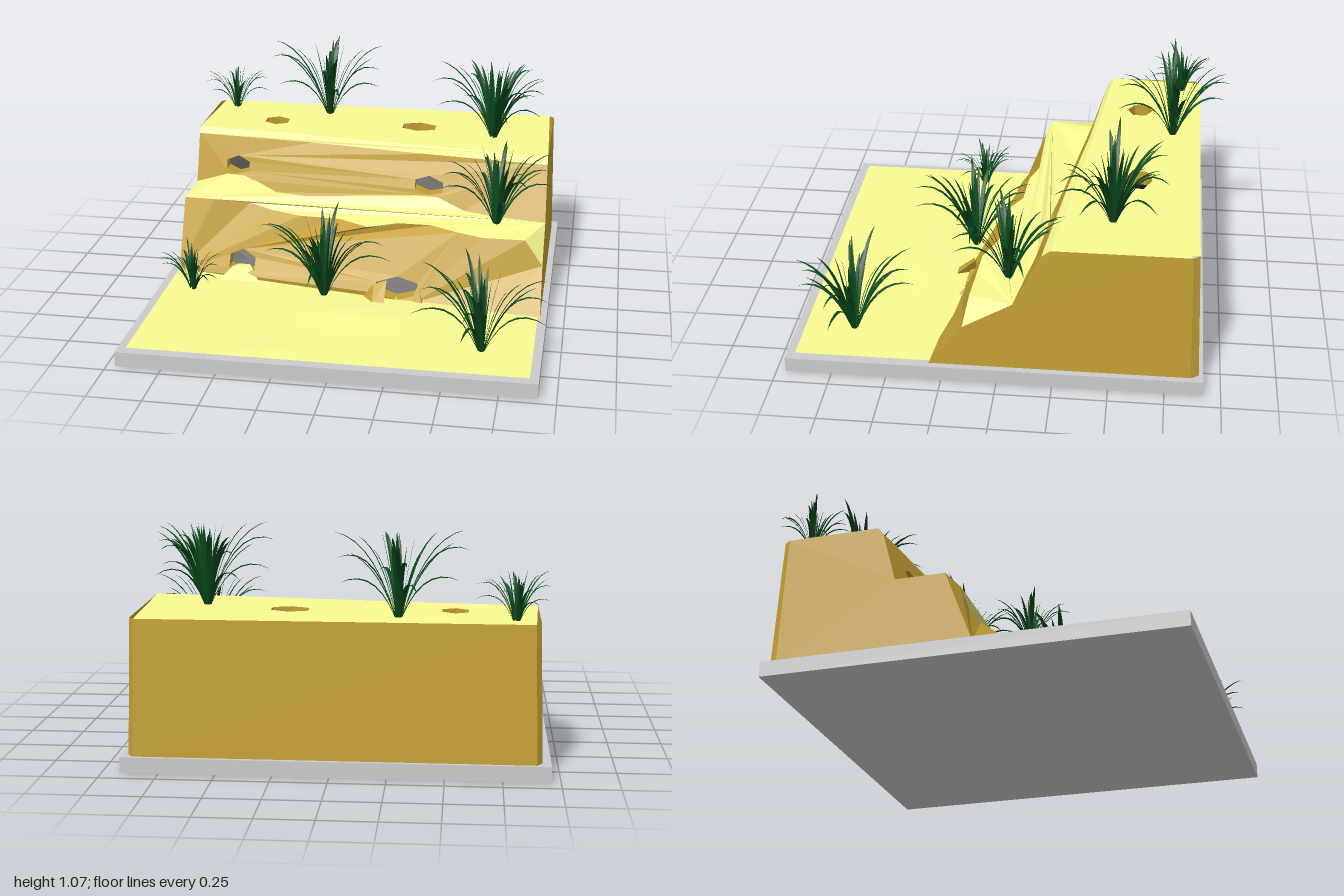
import * as THREE from 'three';
import { mergeGeometries } from 'three/addons/utils/BufferGeometryUtils.js';
import { ConvexGeometry } from 'three/addons/geometries/ConvexGeometry.js';

const mat = (color, flatShading = true) =>
  new THREE.MeshStandardMaterial({ color, flatShading, side: THREE.DoubleSide });

// Terrain break lines running left to right: [x, y, z]
const W = 0.905;
const rows = {
  backFoot: [[-W, 0.07, -0.9], [W, 0.07, -0.9]],
  backTop: [[-W, 0.68, -0.875], [W, 0.68, -0.875]],
  topEdge: [[-W, 0.68, -0.42], [-0.3, 0.68, -0.365], [0.3, 0.68, -0.3], [W, 0.68, -0.235]],
  brow: [[-W, 0.65, -0.395], [-0.3, 0.65, -0.34], [0.3, 0.65, -0.26], [W, 0.65, -0.195]],
  ledgeBack: [[-W, 0.41, -0.33], [-0.82, 0.44, -0.32], [-0.74, 0.465, -0.32], [-0.64, 0.465, -0.31],
    [-0.47, 0.4, -0.265], [0, 0.395, -0.19], [0.12, 0.4, -0.175], [0.25, 0.46, -0.18], [0.37, 0.46, -0.17],
    [0.5, 0.41, -0.14], [0.65, 0.4, -0.11], [W, 0.4, -0.07]],
  ledgeFront: [[-W, 0.41, -0.1], [-0.75, 0.415, -0.08], [-0.57, 0.4, -0.1], [-0.45, 0.375, -0.08],
    [-0.3, 0.375, -0.03], [-0.1, 0.375, -0.02], [0.05, 0.375, 0.06], [0.2, 0.4, 0.05], [0.36, 0.4, 0.05],
    [0.5, 0.395, 0.11], [0.62, 0.38, 0.12], [0.82, 0.385, 0.13], [W, 0.27, 0.155]],
  foot: [[-W, 0.07, 0.03], [-0.6, 0.07, 0.1], [-0.45, 0.07, 0.12], [-0.3, 0.07, 0.11], [-0.1, 0.07, 0.16],
    [0.05, 0.07, 0.23], [0.3, 0.07, 0.23], [0.5, 0.07, 0.25], [0.7, 0.07, 0.29], [W, 0.07, 0.31]],
};

// Point of a break line at a given x
function at(row, x) {
  let i = 1;
  while (i < row.length - 1 && x > row[i][0]) i++;
  const a = new THREE.Vector3(...row[i - 1]), b = new THREE.Vector3(...row[i]);
  return a.lerp(b, (x - a.x) / (b.x - a.x));
}

// Walls lean inwards with height, and the back corners are chamfered
function warp(p) {
  let s = 1 - 0.026 * (p.y - 0.07);
  if (p.z < -0.87) s -= 0.025;
  p.x = p.x * s - 0.015;
  return p;
}

function warpGeometry(geo, rule) {
  const pos = geo.attributes.position, p = new THREE.Vector3();
  for (let i = 0; i < pos.count; i++) {
    p.fromBufferAttribute(pos, i);
    const q = warp(rule(p));
    pos.setXYZ(i, q.x, q.y, q.z);
  }
  geo.computeVertexNormals();
  return geo;
}

function add(parent, name, geo, material) {
  const mesh = new THREE.Mesh(geo, material);
  mesh.name = name;
  parent.add(mesh);
  return mesh;
}

// Six-sided burrow: rock walls behind the opening and a dark end
function burrow(parent, rim, dir, rock, dark) {
  const inner = rim.map(p => p.clone().add(dir));
  const mid = inner.reduce((s, p) => s.add(p), new THREE.Vector3()).divideScalar(inner.length);
  const walls = [], end = [];
  rim.forEach((a, i) => {
    const j = (i + 1) % rim.length;
    walls.push(a, inner[i], rim[j], rim[j], inner[i], inner[j]);
    end.push(mid, inner[i], inner[j]);
  });
  [['burrowWall', walls, rock], ['burrowEnd', end, dark]].forEach(([name, pts, m]) => {
    const geo = new THREE.BufferGeometry().setFromPoints(pts);
    geo.computeVertexNormals();
    add(parent, name, geo, m);
  });
}

// Surface between two break lines; holes are [x, v, radiusX, radiusV]
function strip(parent, name, lo, hi, material, holes = [], dir, rock, dark) {
  const xs = r => r.map(p => p[0]);
  const outline = [...xs(lo).map(x => new THREE.Vector2(x, 0)),
    ...xs(hi).reverse().map(x => new THREE.Vector2(x, 1))];
  const map = p => at(lo, p.x).lerp(at(hi, p.x), p.y);
  const shape = new THREE.Shape(outline);
  holes.forEach(([x, v, rx, rv]) => {
    const hex = [0, 1, 2, 3, 4, 5].map(k => {
      const a = Math.PI / 6 + k * Math.PI / 3;
      return new THREE.Vector2(x + rx * Math.cos(a) / 0.866, v + rv * Math.sin(a));
    });
    shape.holes.push(new THREE.Path(hex));
    burrow(parent, hex.map(p => warp(map(p))), dir, rock, dark);
  });
  add(parent, name, warpGeometry(new THREE.ShapeGeometry(shape), map), material);
}

// Tapered, arching leaf with a V-shaped cross-section
function blade(angle, reach, height, tipY, width) {
  const out = new THREE.Vector3(Math.cos(angle), 0, Math.sin(angle));
  const side = new THREE.Vector3(-out.z, 0, out.x);
  const up = y => new THREE.Vector3(0, y, 0);
  const curve = new THREE.QuadraticBezierCurve3(out.clone().multiplyScalar(0.012),
    out.clone().multiplyScalar(reach * 0.4).add(up(height)),
    out.clone().multiplyScalar(reach).add(up(tipY)));
  const n = 7, pts = [], index = [];
  for (let i = 0; i <= n; i++) {
    const t = i / n, c = curve.getPoint(t);
    const w = width * (0.6 + 1.6 * t) * (1 - t) ** 0.9;
    pts.push(c.clone().addScaledVector(side, w).add(up(w * 0.5)), c,
      c.clone().addScaledVector(side, -w).add(up(w * 0.5)));
    if (i < n) for (const k of [0, 1]) {
      const a = i * 3 + k;
      index.push(a, a + 1, a + 3, a + 1, a + 4, a + 3);
    }
  }
  const geo = new THREE.BufferGeometry().setFromPoints(pts);
  geo.setIndex(index);
  geo.computeVertexNormals();
  return geo;
}

// Grass tuft: a fan of leaves along each arm, from drooping to upright
function tuft(x, y, z, size, arms, seed) {
  const rand = () => (seed = (seed * 16807) % 2147483647) / 2147483647;
  const leaves = [[1, 0.62, 0.42], [1, 0.85, 0.68], [0.92, 0.8, 0.88], [0.8, 0.6, 0.75], [0.6, 0.7, 0.85],
    [0.42, 0.6, 0.8], [0.26, 0.5, 0.92], [0.14, 0.5, 0.86]];
  const blades = [];
  for (const deg of arms) leaves.forEach(([r, h, tip]) => {
    const a = THREE.MathUtils.degToRad(deg + (rand() - 0.5) * 34);
    const k = size * (0.88 + rand() * 0.2);
    blades.push(blade(a, r * k * 0.7, h * k, tip * k, size * 0.032));
  });
  const geo = mergeGeometries(blades);
  geo.translate(x, y - 0.01, z);
  return geo;
}

export function createModel() {
  const model = new THREE.Group();
  const sand = mat(0xfafa92), rock = mat(0xc4a035), dark = mat(0x141414);
  const leaf = mat(0x0a4a1c, false);

  // Tray and gently rolling sand floor
  const tray = add(model, 'tray', new THREE.BoxGeometry(1.88, 0.07, 1.88),
    new THREE.MeshStandardMaterial({ color: 0xcccccc }));
  tray.position.set(-0.02, 0.035, 0.02);
  const floor = new THREE.PlaneGeometry(1.8, 1.79, 24, 24).rotateX(-Math.PI / 2).translate(-0.02, 0.076, 0.025);
  const fp = floor.attributes.position;
  for (let i = 0; i < fp.count; i++) {
    const x = fp.getX(i), z = fp.getZ(i);
    fp.setY(i, 0.076 + 0.016 * Math.exp(-(((x - 0.05) / 0.3) ** 2) - ((z - 0.42) / 0.13) ** 2)
      + 0.008 * Math.exp(-(((x + 0.3) / 0.25) ** 2) - ((z - 0.83) / 0.06) ** 2));
  }
  floor.computeVertexNormals();
  add(model, 'sandFloor', floor, mat(0xfafa92, false));

  // Stepped cliff with burrows
  const cliff = new THREE.Group();
  cliff.name = 'cliff';
  model.add(cliff);
  const down = new THREE.Vector3(0, -0.07, 0), inward = new THREE.Vector3(0, 0, -0.07);
  strip(cliff, 'plateau', rows.topEdge, rows.backTop, sand,
    [[-0.53, 0.385, 0.06, 0.13], [0.22, 0.49, 0.085, 0.12]], down, rock, dark);
  strip(cliff, 'plateauBrow', rows.brow, rows.topEdge, sand);
  strip(cliff, 'upperCliff', rows.ledgeBack, rows.brow, rock,
    [[-0.685, 0.26, 0.06, 0.24], [0.32, 0.26, 0.07, 0.23]], inward, rock, dark);
  strip(cliff, 'ledge', rows.ledgeFront, rows.ledgeBack, sand);
  strip(cliff, 'lowerCliff', rows.foot, rows.ledgeFront, rock,
    [[-0.575, 0.23, 0.065, 0.17], [0.215, 0.17, 0.1, 0.15]], inward, rock, dark);
  strip(cliff, 'backWall', rows.backTop, rows.backFoot, rock);

  // End walls follow the stepped profile
  for (const x of [-W, W]) {
    const profile = ['backFoot', 'backTop', 'topEdge', 'brow', 'ledgeBack', 'ledgeFront', 'foot']
      .map(k => at(rows[k], x)).map(p => new THREE.Vector2(p.z, p.y));
    profile.splice(2, 0, new THREE.Vector2(-0.845, 0.68));
    profile.push(new THREE.Vector2(-0.865, 0.07));
    add(cliff, 'endWall', warpGeometry(new THREE.ShapeGeometry(new THREE.Shape(profile)),
      p => new THREE.Vector3(x, p.y, p.x)), rock);
  }

  // Sand spill and rocks beside the lower burrows
  const hull = (name, pts, m) =>
    add(model, name, new ConvexGeometry(pts.map(p => new THREE.Vector3(...p))), m);
  hull('sandSpill', [[-0.69, 0.075, 0.13], [-0.49, 0.075, 0.13], [-0.64, 0.12, 0.06], [-0.54, 0.12, 0.06],
    [-0.62, 0.12, 0.02], [-0.56, 0.12, 0.02], [-0.59, 0.07, 0]], sand);
  hull('burrowRock', [[0.03, 0.07, 0.2], [0.09, 0.07, 0.29], [0.15, 0.07, 0.29], [0.1, 0.07, 0.18],
    [0.09, 0.14, 0.2], [0.15, 0.16, 0.19]], rock);
  hull('burrowRock', [[0.3, 0.07, 0.2], [0.27, 0.07, 0.23], [0.33, 0.07, 0.255], [0.34, 0.07, 0.2],
    [0.3, 0.14, 0.19]], rock);

  // Grass tufts: x, y, z, size, arm directions in degrees
  [[-0.8, 0.68, -0.78, 0.24, [-110, -10, 70, 170]],
    [-0.29, 0.68, -0.74, 0.42, [-92, -8, 80, 168]],
    [0.59, 0.68, -0.49, 0.42, [-115, -42, 15, 65, 170]],
    [0.65, 0.4, -0.03, 0.41, [-100, -12, 72, 168]],
    [-0.15, 0.08, 0.22, 0.44, [-90, 12, 98, 178]],
    [-0.79, 0.08, 0.25, 0.24, [-110, 10, 62, 175]],
    [0.65, 0.08, 0.69, 0.43, [-98, 2, 95, 182]],
  ].forEach((t, i) => add(model, 'grassTuft', tuft(...t, 101 + i * 37), leaf));

  return model;
}
